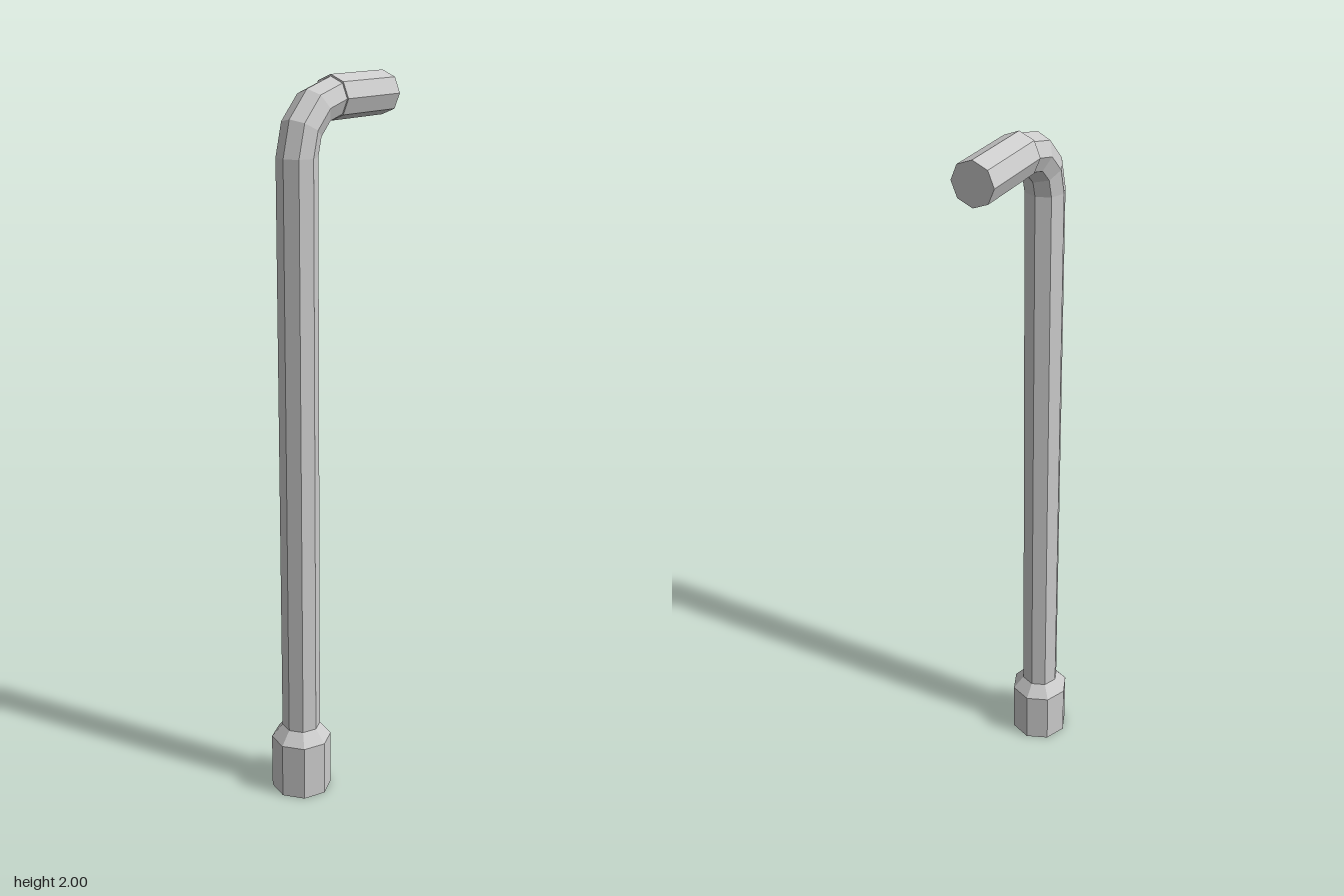
import * as THREE from 'three';

const SIDES = 8;
const SHAFT_Z = 0.136, SHAFT_R = 0.054, BEND_Y = 1.805;

export function createModel() {
  const group = new THREE.Group();
  const material = new THREE.MeshStandardMaterial({ color: 0xcccccc, flatShading: true });

  const add = (name, geometry, y, z) => {
    const mesh = new THREE.Mesh(geometry, material);
    mesh.name = name;
    mesh.position.set(0, y, z);
    group.add(mesh);
  };

  // Upright eight-sided section between two heights
  const upright = (name, rTop, rBottom, y0, y1, open) =>
    add(name, new THREE.CylinderGeometry(rTop, rBottom, y1 - y0, SIDES, 1, open), (y0 + y1) / 2, SHAFT_Z);

  // Socket head: straight body with a solid base, then a tapered shoulder
  upright('socketBody', 0.085, 0.085, 0, 0.16, false);
  upright('socketShoulder', SHAFT_R, 0.085, 0.16, 0.197, true);

  // Long shaft
  upright('shaft', SHAFT_R, SHAFT_R, 0.197, BEND_Y, true);

  // Quarter-turn elbow in three segments, turning from up to backwards
  const elbow = new THREE.TorusGeometry(SHAFT_Z, SHAFT_R, SIDES, 3, Math.PI / 2);
  elbow.rotateY(-Math.PI / 2);
  add('elbow', elbow, BEND_Y, 0);

  // Slightly thicker handle running backwards
  const handle = new THREE.CylinderGeometry(0.058, 0.058, 0.222, SIDES);
  handle.rotateX(Math.PI / 2);
  add('handle', handle, 1.942, -0.111);

  return group;
}
